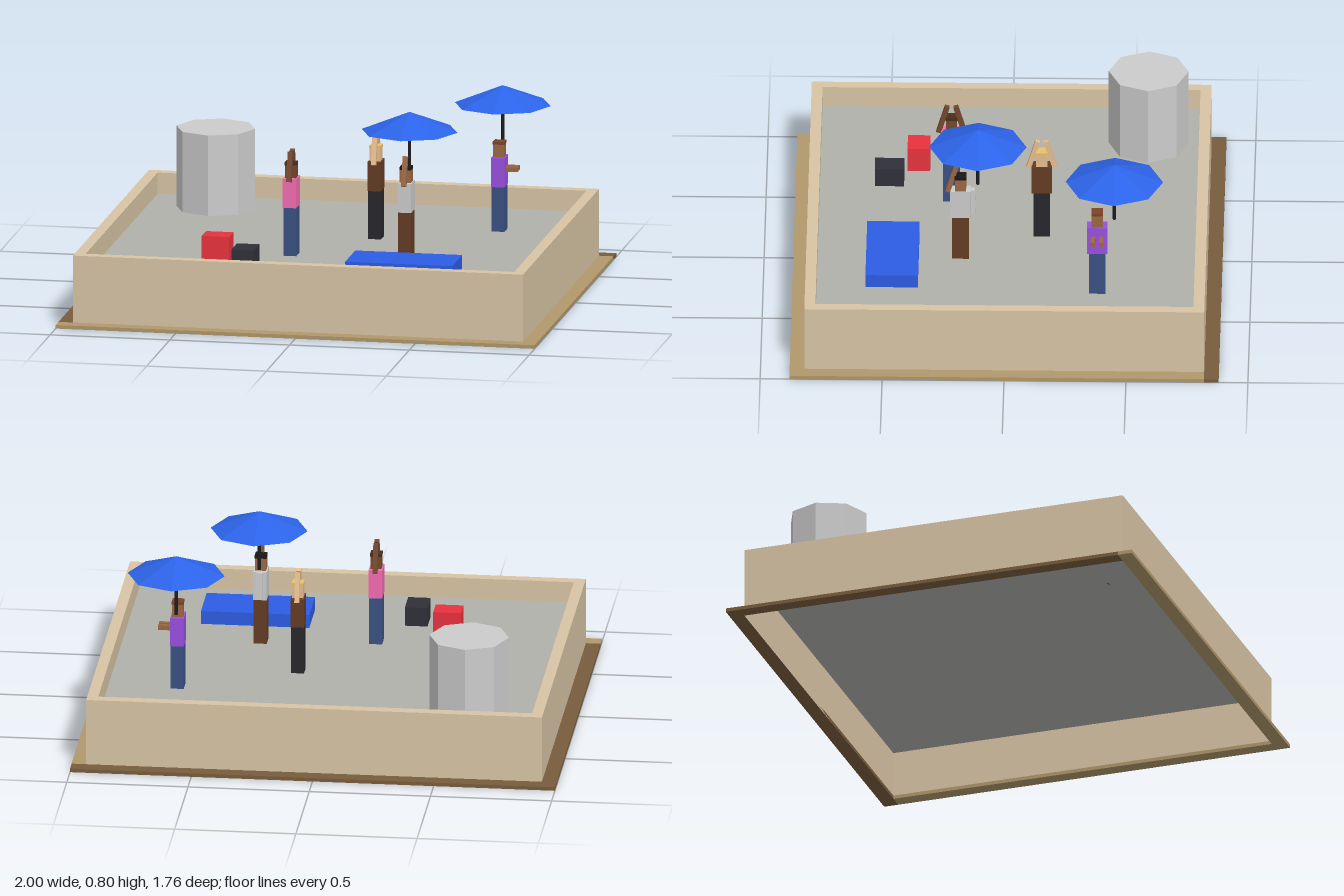
import * as THREE from 'three';

const mat = (color) => new THREE.MeshStandardMaterial({ color, flatShading: true });

function add(parent, name, geometry, color, x, y, z) {
  const mesh = new THREE.Mesh(geometry, mat(color));
  mesh.name = name;
  mesh.position.set(x, y, z);
  parent.add(mesh);
  return mesh;
}

// Box given by its limits on each axis
function block(parent, name, color, [x0, x1], [y0, y1], [z0, z1]) {
  return add(parent, name, new THREE.BoxGeometry(x1 - x0, y1 - y0, z1 - z0), color,
    (x0 + x1) / 2, (y0 + y1) / 2, (z0 + z1) / 2);
}

// Thin square limb between two points
function limb(parent, name, color, from, to, width = 0.02) {
  const a = new THREE.Vector3(...from), b = new THREE.Vector3(...to);
  const mid = a.clone().add(b).multiplyScalar(0.5);
  const mesh = add(parent, name, new THREE.BoxGeometry(width, a.distanceTo(b), width), color, mid.x, mid.y, mid.z);
  mesh.quaternion.setFromUnitVectors(new THREE.Vector3(0, 1, 0), b.sub(a).normalize());
}

// Surface joining rectangular rings, each given as [halfX, halfZ, y]
function rectangularShell(rings) {
  const positions = [], index = [];
  rings.forEach(([hx, hz, y], r) => {
    positions.push(hx, y, hz, hx, y, -hz, -hx, y, -hz, -hx, y, hz);
    if (r === 0) return;
    for (let i = 0; i < 4; i++) {
      const j = (i + 1) % 4, low = (r - 1) * 4, high = r * 4;
      index.push(low + i, low + j, high + j, low + i, high + j, high + i);
    }
  });
  const geometry = new THREE.BufferGeometry();
  geometry.setAttribute('position', new THREE.Float32BufferAttribute(positions, 3));
  geometry.setIndex(index);
  const flat = geometry.toNonIndexed();
  flat.computeVertexNormals();
  return flat;
}

const FLOOR = 0.207;

function createPerson(root, { name, x, z, hip, skin, hair, shirt, trousers, arms }) {
  const g = new THREE.Group();
  g.name = name;
  g.position.set(x, 0, z);
  root.add(g);
  const shoulder = hip + 0.122;
  block(g, 'legs', trousers, [-0.027, 0.027], [FLOOR, hip], [-0.034, 0.034]);
  block(g, 'torso', shirt, [-0.028, 0.028], [hip, shoulder], [-0.042, 0.042]);
  block(g, 'head', skin, [-0.023, 0.023], [shoulder, shoulder + 0.053], [-0.023, 0.023]);
  block(g, 'hair', hair, [-0.024, 0.024], [shoulder + 0.053, shoulder + 0.065], [-0.024, 0.024]);
  // Arms: raised above the head, hanging, or held out in front
  for (const [side, pose] of [[1, arms[0]], [-1, arms[1]]]) {
    if (pose === 'up') {
      limb(g, 'raisedArm', skin, [0, shoulder - 0.01, side * 0.053], [0, shoulder + 0.11, side * 0.017]);
    } else if (pose === 'down') {
      limb(g, 'hangingArm', shirt, [0, shoulder, side * 0.046], [0, hip + 0.008, side * 0.05], 0.025);
    } else {
      limb(g, 'forwardArm', skin, [0.02, hip + 0.073, side * 0.017], [0.08, hip + 0.073, side * 0.017], 0.019);
    }
  }
}

function createParasol(root, x, z) {
  const g = new THREE.Group();
  g.name = 'parasol';
  g.position.set(x, 0, z);
  root.add(g);
  add(g, 'canopy', new THREE.ConeGeometry(0.2, 0.08, 8), 0x2c63e8, 0, 0.76, 0);
  add(g, 'pole', new THREE.CylinderGeometry(0.007, 0.007, 0.2, 8), 0x1c1c20, 0, 0.645, 0);
}

export function createModel() {
  const root = new THREE.Group();
  root.name = 'rooftopTerrace';

  // Ledge around the foot
  const pale = 0xb0976b, dark = 0x785c3c;
  block(root, 'frontLedge', pale, [-1, 1], [0, 0.015], [0.82, 0.88]);
  block(root, 'backLedge', dark, [-1, 1], [0, 0.015], [-0.88, -0.82]);
  block(root, 'leftLedge', pale, [0.94, 1], [0, 0.015], [-0.82, 0.82]);
  block(root, 'rightLedge', dark, [-1, -0.94], [0, 0.015], [-0.82, 0.82]);

  // Outer wall, flat rim and inner parapet face, hollow below the floor
  const walls = add(root, 'walls', rectangularShell([
    [0.94, 0.82, 0], [0.94, 0.82, 0.296], [0.895, 0.775, 0.296], [0.895, 0.775, FLOOR],
  ]), 0xd8c4a5, 0, 0, 0);
  walls.material.side = THREE.DoubleSide;
  const floor = add(root, 'floor', new THREE.PlaneGeometry(1.88, 1.64), 0xb0b1ab, 0, FLOOR, 0);
  floor.rotation.x = -Math.PI / 2;
  floor.material.side = THREE.DoubleSide;

  // Things standing on the floor
  add(root, 'waterTank', new THREE.CylinderGeometry(0.164, 0.164, 0.338, 8), 0xc6c6c6, -0.612, 0.376, -0.567);
  block(root, 'redBox', 0xe8323e, [-0.48, -0.365], [FLOOR, 0.31], [0.325, 0.418]);
  block(root, 'blackBox', 0x30303a, [-0.33, -0.237], [FLOOR, 0.288], [0.43, 0.55]);
  block(root, 'mat', 0x2c5ce2, [0.15, 0.597], [FLOOR, 0.263], [0.36, 0.575]);

  createParasol(root, 0.33, 0.118);
  createParasol(root, 0.61, -0.446);

  const people = [
    { name: 'personInPink', x: -0.141, z: 0.234, hip: 0.41, skin: 0x74492f, hair: 0x4a2c1c,
      shirt: 0xf46cb2, trousers: 0x3a5282, arms: ['up', 'up'] },
    { name: 'personInBrown', x: 0.14, z: -0.141, hip: 0.41, skin: 0xe6bd8e, hair: 0xe8c070,
      shirt: 0x643c24, trousers: 0x28282c, arms: ['up', 'up'] },
    { name: 'personInGrey', x: 0.33, z: 0.189, hip: 0.4, skin: 0x9a6846, hair: 0x1c1614,
      shirt: 0xc8c8c8, trousers: 0x643c24, arms: ['up', 'down'] },
    { name: 'personInPurple', x: 0.61, z: -0.376, hip: 0.395, skin: 0x9a6846, hair: 0x7a4426,
      shirt: 0x9a4fe0, trousers: 0x3a5282, arms: ['forward', 'forward'] },
  ];
  people.forEach((p) => createPerson(root, p));

  return root;
}
